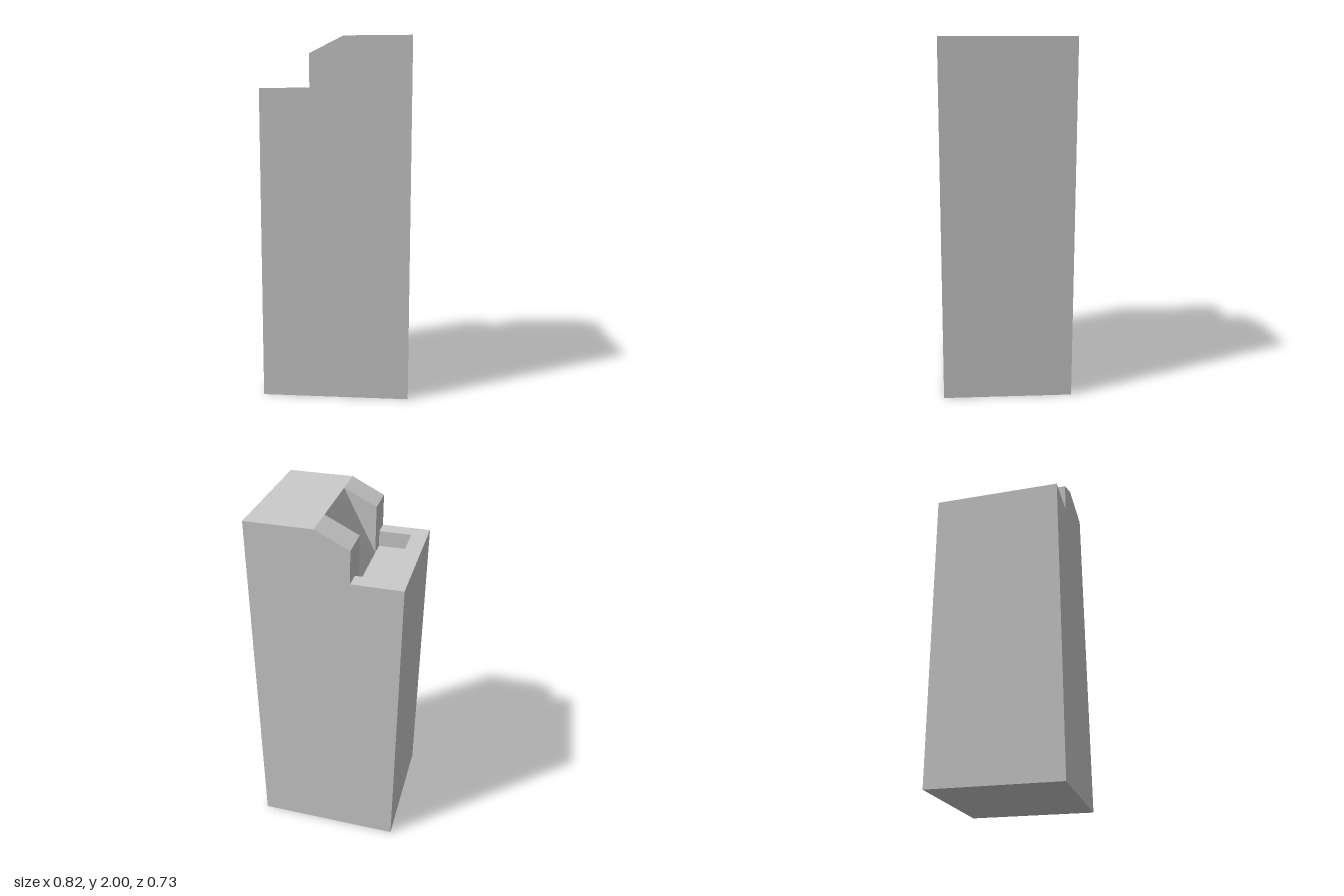
import * as THREE from 'three';

const material = new THREE.MeshStandardMaterial({ color: 0xcccccc });

// Key dimensions
const X = 0.41, Z = 0.364, H = 2;
const FLOOR = 1.64, RIM = 1.73, EAVE = 1.91;
const X_RIM = -0.32, X_WALL = -0.137, X_RIDGE = 0.045;
const Z_RIM = 0.273, Z_NOTCH = 0.183;

function mesh(name, positions) {
  const g = new THREE.BufferGeometry();
  g.setAttribute('position', new THREE.Float32BufferAttribute(positions, 3));
  g.computeVertexNormals();
  const m = new THREE.Mesh(g, material);
  m.name = name;
  return m;
}

// Sweep an open counter-clockwise x/y profile from z0 to z1
function strip(name, profile, z0, z1) {
  const out = [];
  for (let i = 0; i < profile.length - 1; i++) {
    const p = profile[i], q = profile[i + 1];
    out.push(...p, z0, ...q, z0, ...q, z1, ...p, z0, ...q, z1, ...p, z1);
  }
  return mesh(name, out);
}

// Flat x/y wall at depth z, facing +z (dir 1) or -z (dir -1)
function wall(name, outline, z, dir) {
  const pts = outline.map(([x, y]) => new THREE.Vector2(x, y));
  const out = [];
  for (const [a, b, c] of THREE.ShapeUtils.triangulateShape(pts, [])) {
    for (const i of dir > 0 ? [a, b, c] : [a, c, b]) out.push(...outline[i], z);
  }
  return mesh(name, out);
}

export function createModel() {
  const group = new THREE.Group();
  group.name = 'building';

  const roof = [[X, H], [X_RIDGE, H]];
  const rim = [[X_RIM, RIM], [-X, RIM]];
  const terrace = [[X_WALL, FLOOR], [X_RIM, FLOOR], ...rim];
  const gable = [...roof, [X_WALL, EAVE], [X_WALL, RIM], [-X, RIM]];

  // Tall end faces and underside
  group.add(strip('body', [[-X, RIM], [-X, 0], [X, 0], [X, H]], -Z, Z));

  // Middle: sloping notch running down to the sunken terrace
  group.add(strip('notchAndTerrace', [...roof, ...terrace], -Z_NOTCH, Z_NOTCH));

  for (const s of [-1, 1]) {
    const side = s > 0 ? 'Front' : 'Back';
    const band = (name, profile, a, b) =>
      group.add(strip(name + side, profile, Math.min(s * a, s * b), Math.max(s * a, s * b)));

    // Roof shoulders beside the notch, then the outer parapet
    band('roofShoulder', [...roof, [X_WALL, EAVE], ...terrace], Z_NOTCH, Z_RIM);
    band('parapet', gable, Z_RIM, Z);

    // Outer side wall, inner parapet wall and notch cheek
    group.add(wall('sideWall' + side, [...gable, [-X, 0], [X, 0]], s * Z, s));
    group.add(wall('parapetInner' + side,
      [[X_WALL, RIM], [X_RIM, RIM], [X_RIM, FLOOR], [X_WALL, FLOOR]], s * Z_RIM, -s));
    group.add(wall('notchCheek' + side,
      [[X_RIDGE, H], [X_WALL, EAVE], [X_WALL, FLOOR]], s * Z_NOTCH, -s));
  }
  return group;
}
